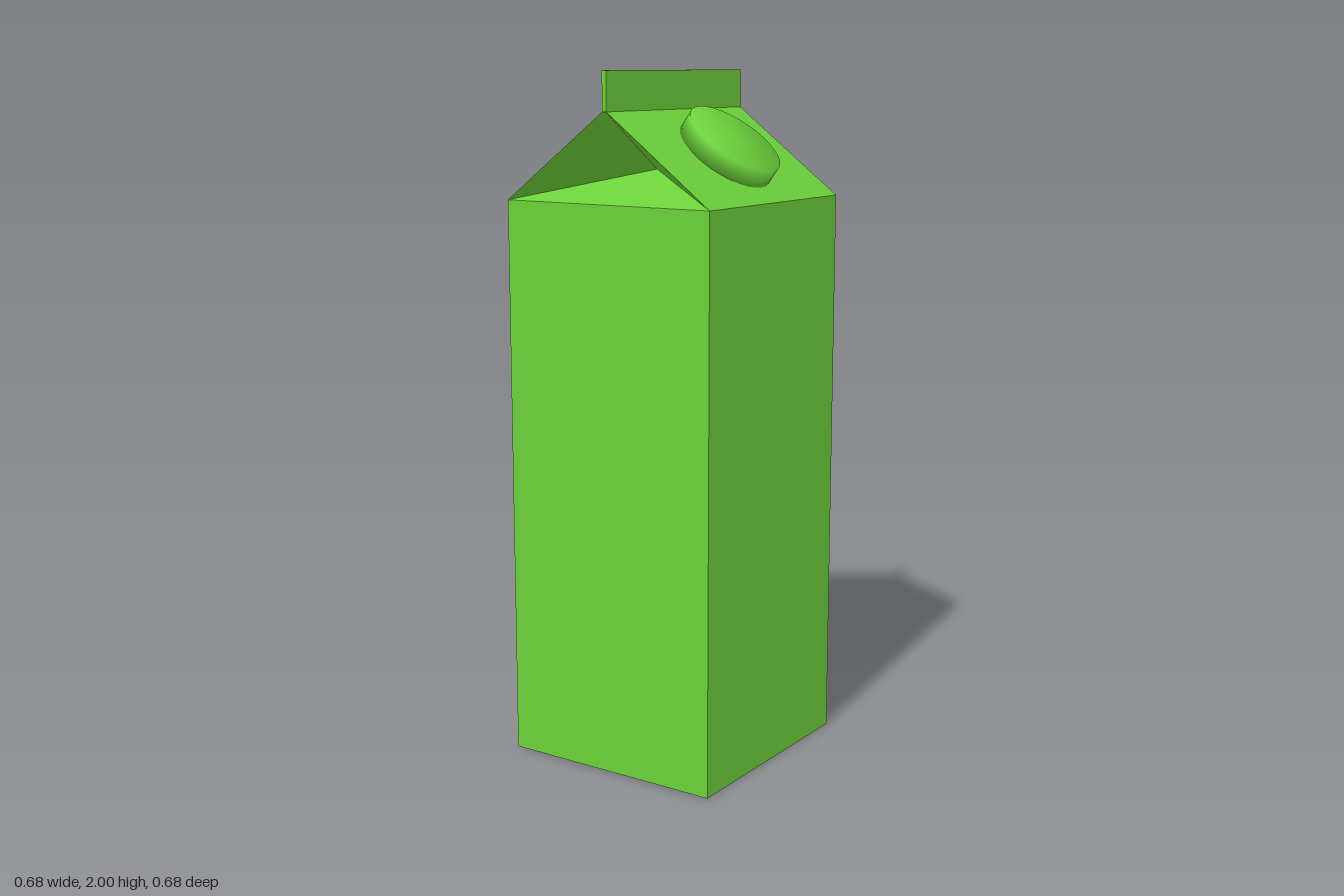
import * as THREE from 'three';
import { mergeVertices } from 'three/addons/utils/BufferGeometryUtils.js';

const HALF = 0.34;     // half width of the square carton
const EAVES = 1.64;    // top of the straight walls
const RIDGE = 1.895;   // where the roof panels meet
const TOP = 2;         // top of the sealed fin
const TUCK_Y = 1.725;  // folded-in point of each gable
const TUCK_Z = HALF - 0.25;

// Gable roof: one sloping panel and one tucked-in end, repeated by a half turn
function roofGeometry() {
  const positions = [];
  for (const s of [1, -1]) {
    const p = (x, y, z) => [s * x, y, s * z];
    const left = p(-HALF, EAVES, HALF);
    const right = p(HALF, EAVES, HALF);
    const farRight = p(HALF, EAVES, -HALF);
    const peak = p(0, RIDGE, HALF);
    const farPeak = p(0, RIDGE, -HALF);
    const tuck = p(0, TUCK_Y, TUCK_Z);
    const triangles = [
      [right, farRight, farPeak], [right, farPeak, peak], // sloping panel
      [left, right, tuck],                                // folded gable
      [left, tuck, peak], [right, peak, tuck],            // undersides of the wings
    ];
    positions.push(...triangles.flat(2));
  }
  const geometry = new THREE.BufferGeometry();
  geometry.setAttribute('position', new THREE.Float32BufferAttribute(positions, 3));
  geometry.computeVertexNormals();
  return geometry;
}

// Short disc with normals blended over the rim, giving a soft, rounded shading
function capGeometry(radius, height) {
  const geometry = new THREE.CylinderGeometry(radius, radius, height, 32);
  geometry.deleteAttribute('normal');
  geometry.deleteAttribute('uv');
  const smooth = mergeVertices(geometry);
  smooth.computeVertexNormals();
  return smooth;
}

export function createModel() {
  const group = new THREE.Group();
  const card = new THREE.MeshStandardMaterial({ color: 0x6cd23a, flatShading: true });
  const plastic = new THREE.MeshStandardMaterial({ color: 0x6cd23a });

  const add = (name, geometry, material, x = 0, y = 0, z = 0) => {
    const mesh = new THREE.Mesh(geometry, material);
    mesh.name = name;
    mesh.position.set(x, y, z);
    group.add(mesh);
    return mesh;
  };

  add('cartonBody', new THREE.BoxGeometry(2 * HALF, EAVES, 2 * HALF), card, 0, EAVES / 2);
  add('gableRoof', roofGeometry(), card);

  // Sealed fin along the ridge
  const finBase = RIDGE - 0.005;
  add('topFin', new THREE.BoxGeometry(0.014, TOP - finBase, 2 * HALF), card, 0, (TOP + finBase) / 2);

  // Screw cap sitting square on the left roof panel
  const slope = Math.atan2(RIDGE - EAVES, HALF);
  const cap = add('screwCap', capGeometry(0.147, 0.058), plastic, 0.187, 1.789);
  cap.rotation.z = -slope;

  return group;
}
